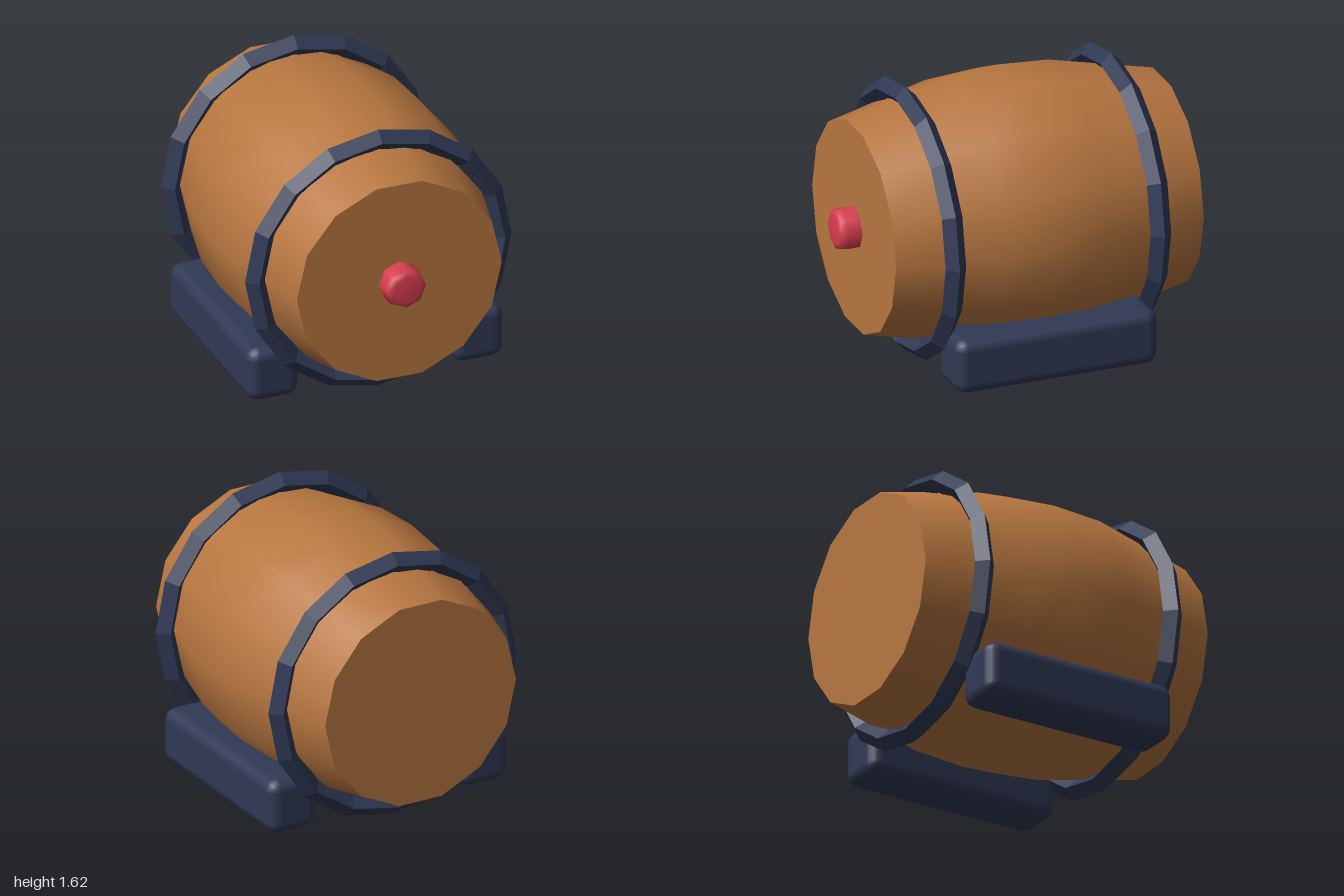
import * as THREE from 'three';
import { RoundedBoxGeometry } from 'three/addons/geometries/RoundedBoxGeometry.js';

const material = (name, color, flatShading = false) => {
  const m = new THREE.MeshStandardMaterial({ color, flatShading });
  m.name = name;
  return m;
};

export function createModel() {
  const group = new THREE.Group();
  const wood = material('wood', 0xb87740);
  const navy = material('navy paint', 0x303955);
  const navyFlat = material('navy paint hoop', 0x303955, true);
  const red = material('red paint', 0xd93d50);
  const axisY = 0.8145;

  const add = (name, geometry, mat, x, y, z) => {
    const mesh = new THREE.Mesh(geometry, mat);
    mesh.name = name;
    mesh.position.set(x, y, z);
    group.add(mesh);
    return mesh;
  };

  // Turned part lying along z; profile pairs are [radius, z]
  const turned = (profile, sides) => new THREE.LatheGeometry(
    profile.map(([r, z]) => new THREE.Vector2(r, z)), sides, Math.PI / 2
  ).rotateX(Math.PI / 2);

  // Bulging staves and flat ends
  add('barrelBody', turned([
    [0.625, -1], [0.77, -0.375], [0.79, -0.0625], [0.77, 0.25], [0.625, 0.875],
  ], 14), wood, 0, axisY, 0);
  add('barrelFrontEnd', new THREE.CircleGeometry(0.625, 14), wood, 0, axisY, 0.875);
  add('barrelBackEnd', new THREE.CircleGeometry(0.625, 14), wood, 0, axisY, -1).rotation.y = Math.PI;

  // Diamond-section hoops
  for (const [name, z] of [['frontHoop', 0.5625], ['backHoop', -0.6875]]) {
    add(name, new THREE.TorusGeometry(0.75, 0.0625, 4, 16), navyFlat, 0, axisY, z);
  }

  // Rounded cradle rails
  for (const [name, side] of [['leftRail', 1], ['rightRail', -1]]) {
    add(name, new RoundedBoxGeometry(0.31, 0.33, 1.23, 2, 0.07), navy, side * 0.625, 0.19, -0.055);
  }

  // Bung with a softened rim
  add('bung', turned([
    [0.125, 0.87], [0.125, 0.955], [0.113, 0.988], [0.082, 1], [0, 1],
  ], 8), red, 0, axisY, 0);

  return group;
}
